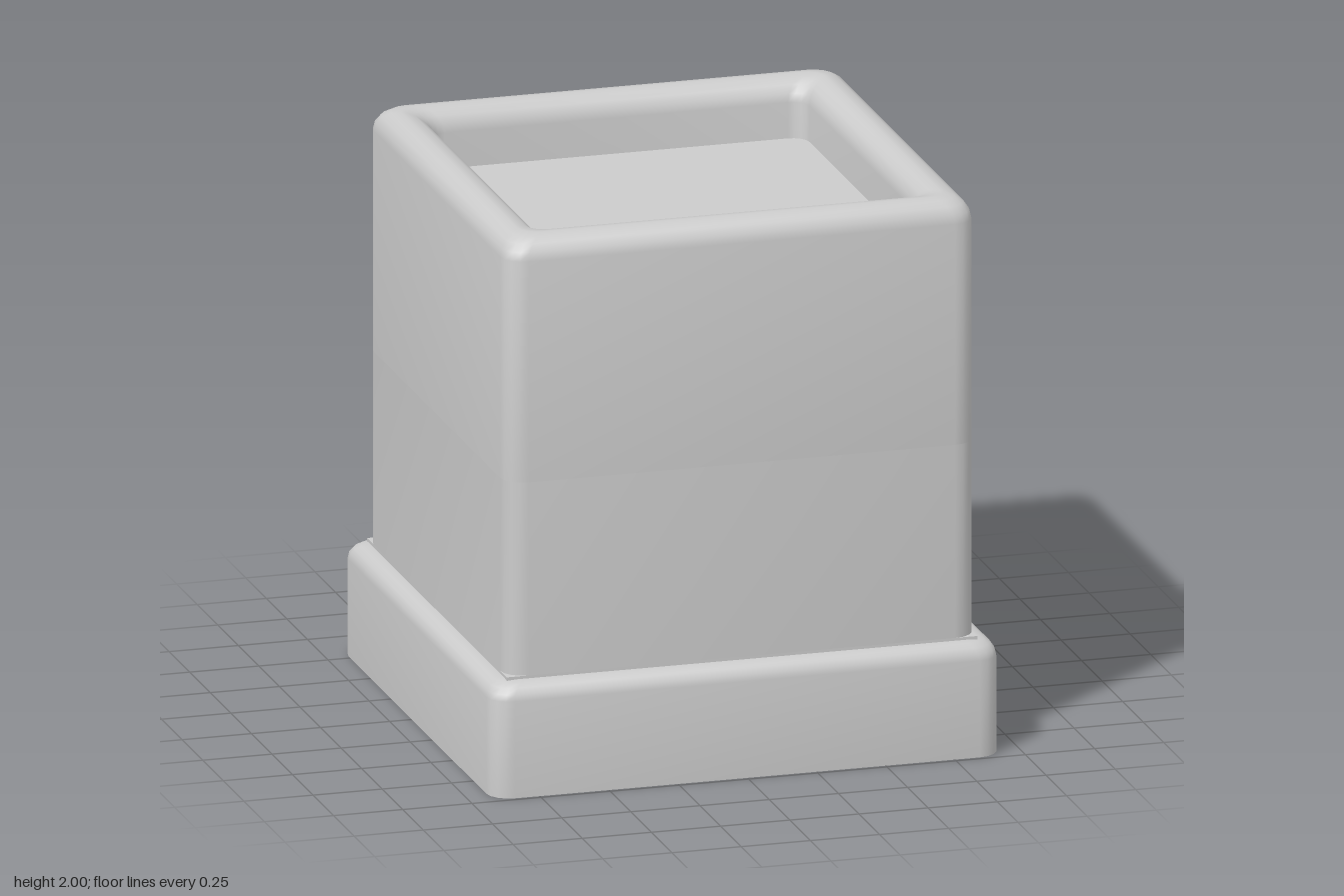
import * as THREE from 'three';
import { toCreasedNormals } from 'three/addons/utils/BufferGeometryUtils.js';

const material = new THREE.MeshStandardMaterial({ color: 0xcccccc, side: THREE.DoubleSide });
const STEPS = 4; // segments per rounded corner

// Rounded outline: half width w, from b to f. With a gap it wraps round the
// back corners and stops at x = +-gap; without one it is a straight-legged U.
function outline(w, b, f, r, gap) {
  const pts = [];
  const corner = (cx, cy, start) => {
    for (let i = 0; i <= STEPS; i++) {
      const a = start + (i / STEPS) * Math.PI / 2;
      pts.push([cx + r * Math.cos(a), cy + r * Math.sin(a)]);
    }
  };
  const legs = gap === null;
  pts.push(legs ? [w, b] : [gap, b]);
  if (!legs) corner(w - r, b + r, -Math.PI / 2);
  corner(w - r, f - r, 0);
  corner(r - w, f - r, Math.PI / 2);
  if (!legs) corner(r - w, b + r, Math.PI);
  pts.push(legs ? [-w, b] : [-gap, b]);
  return pts;
}

// Wall section as [inset, height]: up the outside, over the rounded edge, down the inside
function wallSection(t, h0, h1, rOut, rIn, closed) {
  const s = [[0, h0]];
  const dir = Math.sign(h1 - h0);
  for (let i = 0; i <= STEPS; i++) {
    const a = (i / STEPS) * Math.PI / 2;
    s.push([rOut * (1 - Math.cos(a)), h1 - dir * rOut * (1 - Math.sin(a))]);
  }
  if (rIn > 0) {
    for (let i = 0; i <= STEPS; i++) {
      const a = (i / STEPS) * Math.PI / 2;
      s.push([t - rIn * (1 - Math.sin(a)), h1 - dir * rIn * (1 - Math.cos(a))]);
    }
  } else s.push([t, h1]);
  s.push([t, h0]);
  if (closed) s.push([0, h0]);
  return s;
}

// Sweep a wall section along an outline; place() maps (x, s, height) to a point
function sweep(section, { w, b, f, rOuter, rInner, t, gap }, place) {
  const pos = [], index = [];
  let n = 0;
  section.forEach(([d, h]) => {
    const r = rOuter + (rInner - rOuter) * d / t;
    const pts = outline(w - d, gap === null ? b : b + d, f - d, r, gap);
    n = pts.length;
    pts.forEach(([x, s]) => pos.push(...place(x, s, h)));
  });
  for (let j = 0; j < section.length - 1; j++) {
    for (let i = 0; i < n - 1; i++) {
      const a = j * n + i, c = a + n;
      index.push(a, c, a + 1, a + 1, c, c + 1);
    }
  }
  const g = new THREE.BufferGeometry();
  g.setAttribute('position', new THREE.Float32BufferAttribute(pos, 3));
  g.setIndex(index);
  return toCreasedNormals(g, 0.65);
}

export function createModel() {
  const model = new THREE.Group();
  const add = (name, geometry) => {
    const mesh = new THREE.Mesh(geometry, material);
    mesh.name = name;
    model.add(mesh);
  };
  const box = (name, x0, x1, y0, y1, z0, z1) => {
    const g = new THREE.BoxGeometry(x1 - x0, y1 - y0, z1 - z0);
    g.translate((x0 + x1) / 2, (y0 + y1) / 2, (z0 + z1) / 2);
    add(name, g);
  };
  const upright = (x, z, y) => [x, y, z];
  const facingBack = (x, y, z) => [x, y, z];

  // Base plinth: a hollow ring, open underneath
  add('base', sweep(wallSection(0.07, 0, 0.41, 0.06, 0, true),
    { w: 0.92, b: -0.85, f: 0.985, rOuter: 0.08, rInner: 0.07, t: 0.07, gap: 0 }, upright));

  // Floor
  box('floor', -0.85, 0.85, 0.405, 0.42, -0.78, 0.92);

  // Walls: lower part leaves the doorway free, upper part has the rounded parapet
  const wall = { w: 0.85, b: -0.78, f: 0.92, rOuter: 0.08, rInner: 0.06, t: 0.17 };
  add('lowerWalls', sweep([[0, 0.41], [0, 1.12], [0.17, 1.12], [0.17, 0.41]],
    { ...wall, gap: 0.47 }, upright));
  add('upperWalls', sweep(wallSection(0.17, 1.12, 2, 0.08, 0.08, true),
    { ...wall, gap: 0 }, upright));

  // Sunken roof
  box('roof', -0.7, 0.7, 1.75, 1.79, -0.63, 0.76);

  // Door surround, rounded towards the back
  add('doorSurround', sweep(wallSection(0.27, -0.52, -0.985, 0.09, 0.09, true),
    { w: 0.75, b: 0.05, f: 1.32, rOuter: 0.11, rInner: 0.07, t: 0.27, gap: null }, facingBack));

  // Inner door cheeks
  for (const s of [-1, 1]) {
    box(s > 0 ? 'leftDoorCheek' : 'rightDoorCheek',
      s * 0.42 - 0.05, s * 0.42 + 0.05, 0.05, 1.25, -0.83, -0.28);
  }
  return model;
}
